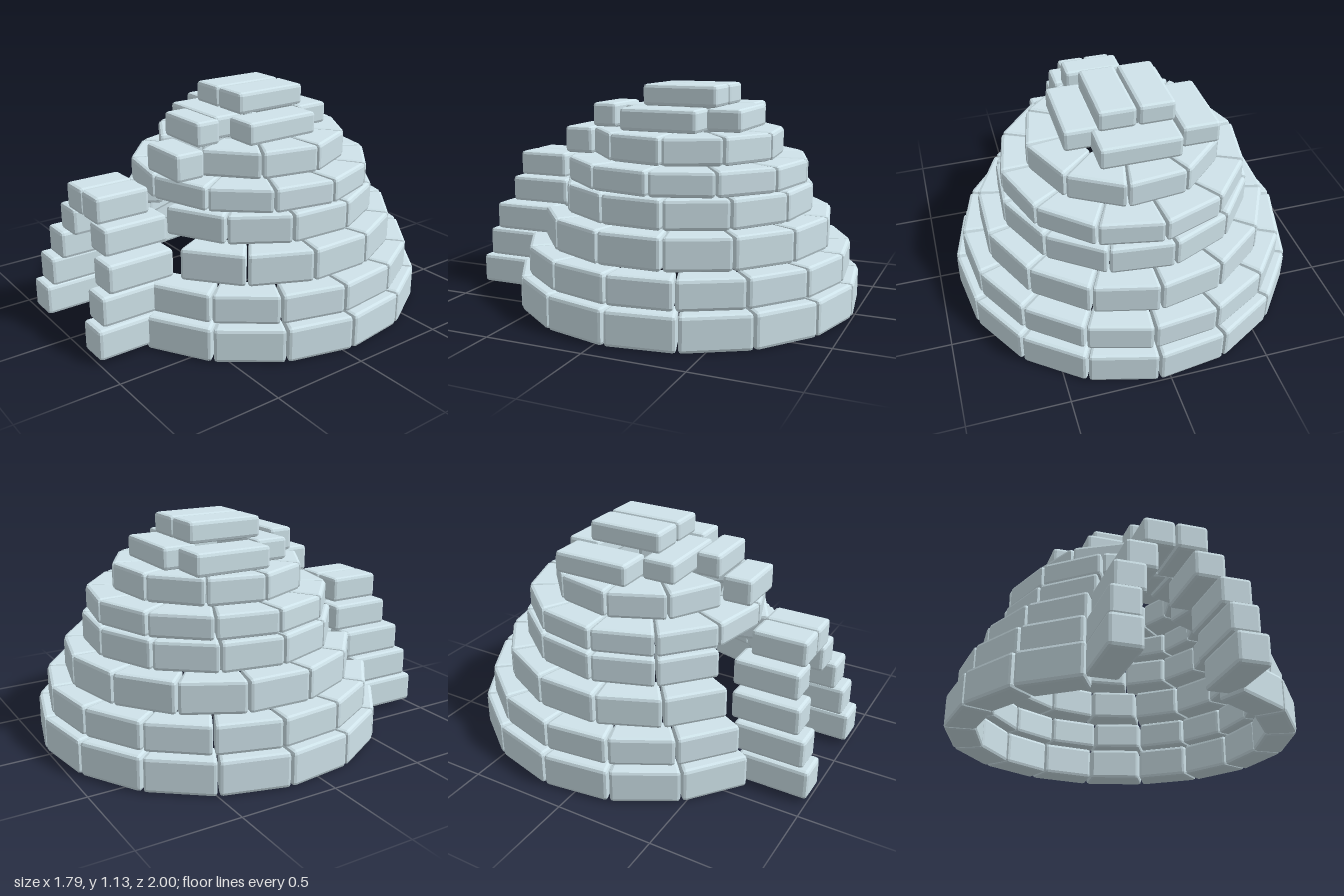
import * as THREE from 'three';
import { RoundedBoxGeometry } from 'three/addons/geometries/RoundedBoxGeometry.js';

const CENTRE_Z = -0.1;
const CHAMFER = 0.018;

export function createModel() {
  const model = new THREE.Group();
  const ice = new THREE.MeshStandardMaterial({ color: 0xcfe3ea, flatShading: true });

  // Chamfered ice block; inner is the width of the inner face relative to the outer
  function block(name, w, h, d, inner = 1) {
    const geo = new RoundedBoxGeometry(w, h, d, 1, CHAMFER);
    const p = geo.attributes.position;
    for (let i = 0; i < p.count; i++) {
      const t = 0.5 - p.getZ(i) / d;
      p.setX(i, p.getX(i) * (1 + (inner - 1) * t));
    }
    geo.computeVertexNormals();
    const mesh = new THREE.Mesh(geo, ice);
    mesh.name = name;
    return mesh;
  }

  // Block given by its limits on each axis
  function slab(parent, name, x0, x1, y0, y1, z0, z1) {
    const mesh = block(name, x1 - x0, y1 - y0, z1 - z0);
    mesh.position.set((x0 + x1) / 2, (y0 + y1) / 2, (z0 + z1) / 2);
    parent.add(mesh);
  }

  // Dome courses: y0, y1, outer radius, thickness, first joint, step (degrees from the back), blocks
  const courses = [
    [0.0, 0.175, 0.902, 0.16, -153.1, 22.4, 14],
    [0.175, 0.325, 0.853, 0.16, -152, 22.4, 14],
    [0.325, 0.49, 0.757, 0.17, -151.4, 25.4, 12],
    [0.49, 0.64, 0.655, 0.18, -153, 29, 11],
    [0.64, 0.765, 0.632, 0.22, -154, 30, 12],
    [0.765, 0.905, 0.5, 0.22, -168, 36, 9],
  ];
  courses.forEach(([y0, y1, radius, thick, start, step, count], c) => {
    const course = new THREE.Group();
    course.name = `domeCourse${c + 1}`;
    const half = THREE.MathUtils.degToRad(step / 2);
    const face = radius * Math.cos(half);
    const mid = face - thick / 2;
    for (let i = 0; i < count; i++) {
      const a = THREE.MathUtils.degToRad(start + step * (i + 0.5));
      const mesh = block('domeBlock', 2 * radius * Math.sin(half) - 0.008, y1 - y0, thick, (face - thick) / face);
      mesh.position.set(Math.sin(a) * mid, (y0 + y1) / 2, CENTRE_Z - Math.cos(a) * mid);
      mesh.rotation.y = Math.PI - a;
      course.add(mesh);
    }
    model.add(course);
  });

  // Loose blocks closing the crown
  const crown = new THREE.Group();
  crown.name = 'crown';
  [
    [-0.42, -0.225, 0.905, 1.02, -0.39, 0.02],
    [0.15, 0.33, 0.905, 1.02, -0.27, 0.145],
    [-0.21, 0.2, 0.905, 1.02, -0.455, -0.27],
    [-0.28, 0.13, 0.905, 1.02, 0.03, 0.21],
    [-0.1, 0.2, 0.905, 1.03, 0.23, 0.365],
    [-0.04, 0.24, 0.765, 0.905, 0.35, 0.51],
    [-0.215, -0.03, 1.02, 1.13, -0.315, 0.09],
    [-0.02, 0.17, 1.02, 1.13, -0.315, 0.09],
  ].forEach((b) => slab(crown, 'crownBlock', ...b));
  model.add(crown);

  // Entrance: stepped piles leaning in to a pair of top blocks
  const entrance = new THREE.Group();
  entrance.name = 'entrance';
  [
    [-0.4, 0.16, 0.16, 0.02, 0.175, 0.64, 1.0],
    [-0.385, 0.15, 0.15, 0.175, 0.325, 0.6, 0.965],
    [-0.355, 0.135, 0.157, 0.325, 0.47, 0.57, 0.92],
    [-0.285, 0.035, 0.155, 0.465, 0.605, 0.54, 0.88],
    [-0.2, -0.042, 0.155, 0.6, 0.735, 0.59, 0.875],
  ].forEach(([xRight, xLeft, w, ...rest]) => {
    slab(entrance, 'entranceBlockRight', xRight, xRight + w, ...rest);
    slab(entrance, 'entranceBlockLeft', xLeft, xLeft + w, ...rest);
  });
  model.add(entrance);

  return model;
}
